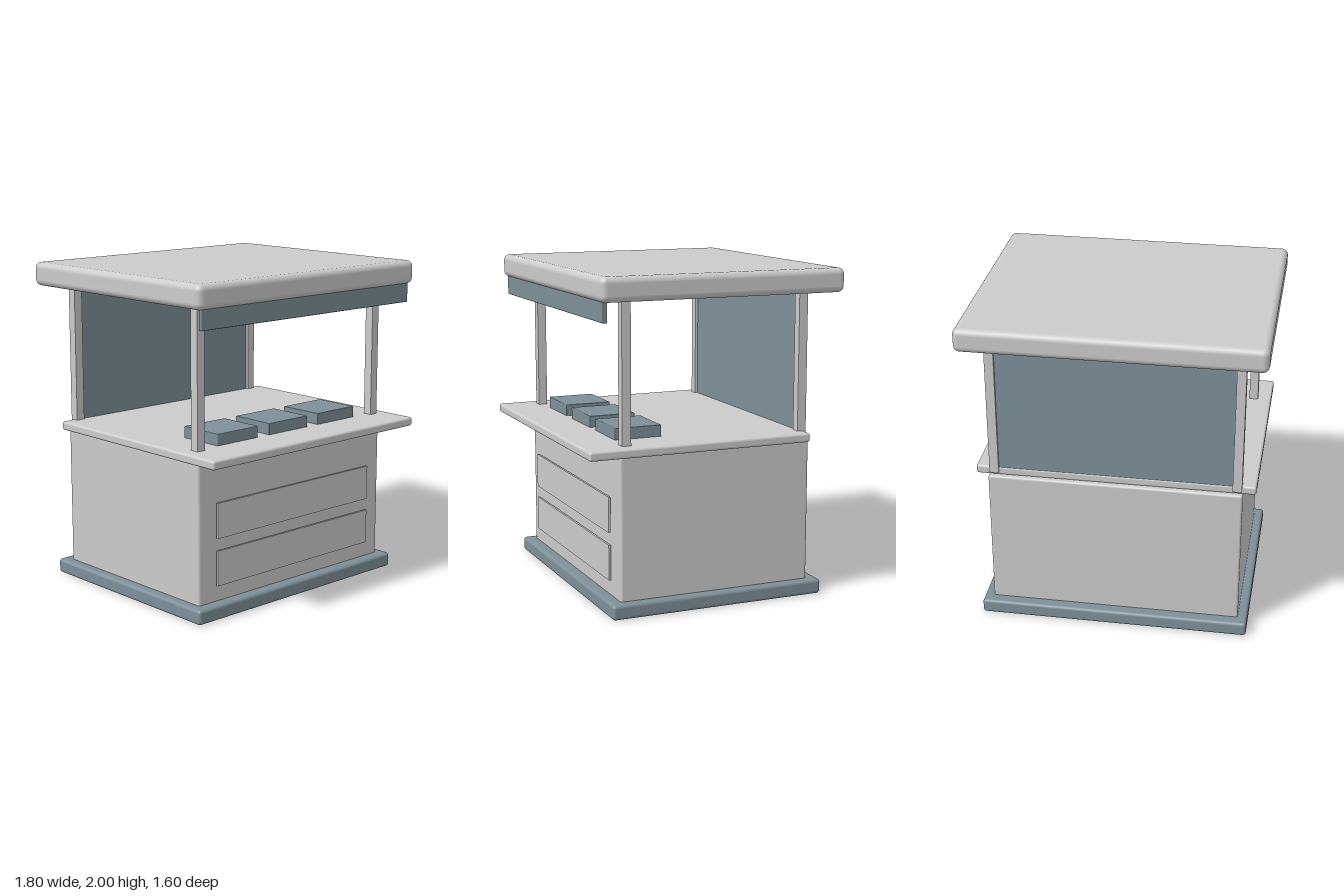
import * as THREE from 'three';
import { RoundedBoxGeometry } from 'three/addons/geometries/RoundedBoxGeometry.js';

const grey = new THREE.MeshStandardMaterial({ color: 0xcccccc });
const slate = new THREE.MeshStandardMaterial({ color: 0x7e8f98 });

export function createModel() {
  const stall = new THREE.Group();
  stall.name = 'marketStall';

  // Box spanning [min, max] on each axis, with optional rounded edges
  function block(name, material, [x0, x1], [y0, y1], [z0, z1], radius = 0) {
    const size = [x1 - x0, y1 - y0, z1 - z0];
    const geometry = radius
      ? new RoundedBoxGeometry(...size, 4, radius)
      : new THREE.BoxGeometry(...size);
    const mesh = new THREE.Mesh(geometry, material);
    mesh.name = name;
    mesh.position.set((x0 + x1) / 2, (y0 + y1) / 2, (z0 + z1) / 2);
    stall.add(mesh);
  }

  // Plinth, cabinet and counter
  block('plinth', slate, [-0.83, 0.83], [0, 0.09], [-0.71, 0.655], 0.02);
  block('cabinet', grey, [-0.772, 0.772], [0.08, 0.965], [-0.64, 0.585], 0.015);
  block('counter', grey, [-0.85, 0.85], [0.96, 1.015], [-0.61, 0.8], 0.015);

  // Two raised panels on the cabinet front
  for (const y of [0.19, 0.48]) {
    block('frontPanel', grey, [-0.645, 0.645], [y, y + 0.215], [0.597, 0.61]);
  }

  // Display trays on the counter
  for (const x of [-0.42, 0, 0.417]) {
    block('tray', slate, [x - 0.163, x + 0.163], [1.01, 1.085], [0.245, 0.54], 0.005);
  }

  // Corner posts
  for (const x of [-0.737, 0.737]) {
    for (const z of [-0.594, 0.542]) {
      block('post', grey, [x - 0.028, x + 0.028], [0.98, 1.87], [z - 0.028, z + 0.028]);
    }
  }

  // Back wall between the rear posts
  block('backWall', slate, [-0.715, 0.715], [1.0, 1.87], [-0.606, -0.584]);

  // Roof slab and hanging front valance
  block('roof', grey, [-0.9, 0.9], [1.855, 2], [-0.8, 0.742], 0.038);
  block('valance', slate, [-0.865, 0.865], [1.74, 1.87], [0.695, 0.72], 0.005);

  return stall;
}
